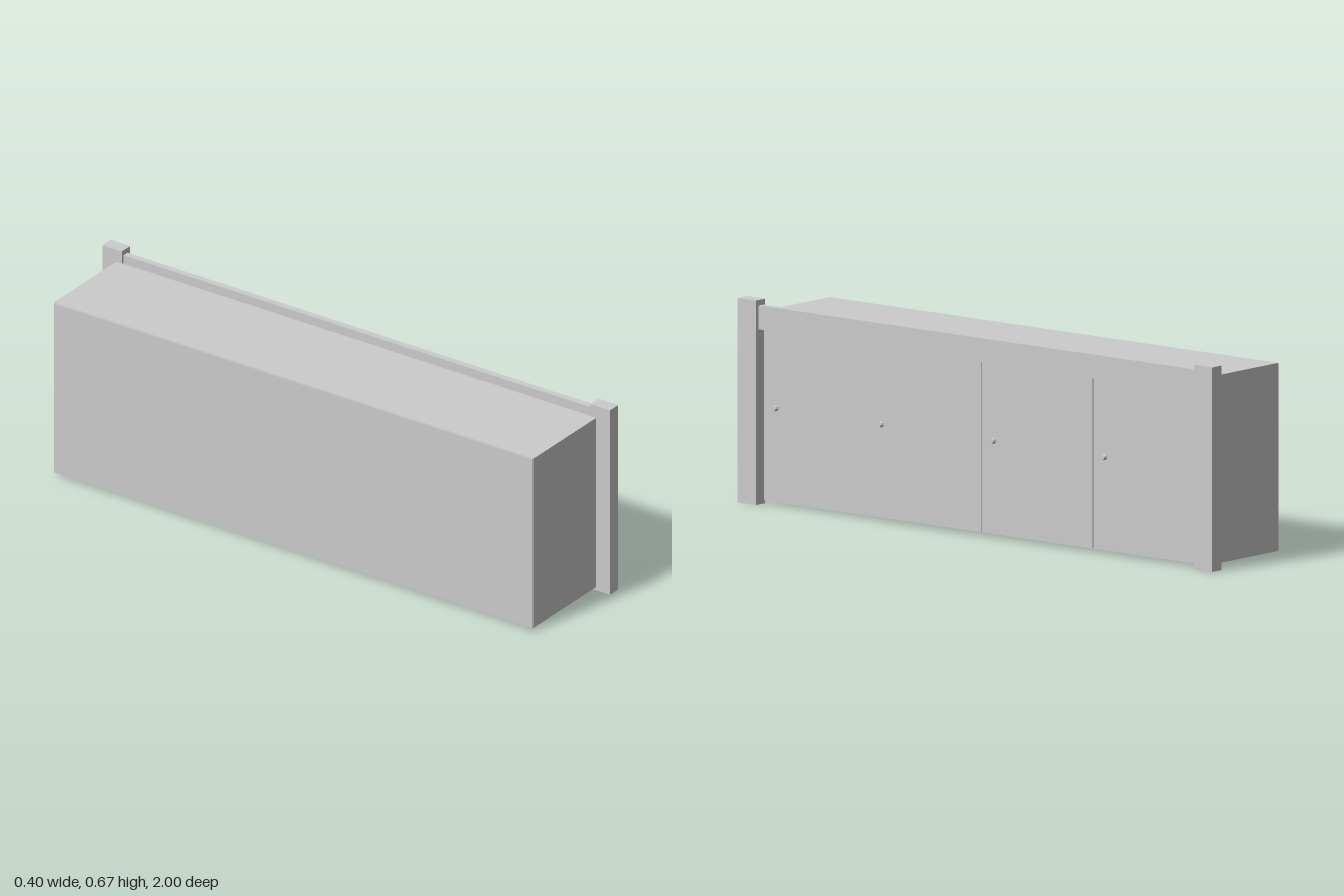
import * as THREE from 'three';

const material = new THREE.MeshStandardMaterial({ color: 0xcccccc, flatShading: true });

export function createModel() {
  const group = new THREE.Group();

  // Box from its lower and upper limits on each axis
  const box = (name, [x0, x1], [y0, y1], [z0, z1]) => {
    const mesh = new THREE.Mesh(new THREE.BoxGeometry(x1 - x0, y1 - y0, z1 - z0), material);
    mesh.name = name;
    mesh.position.set((x0 + x1) / 2, (y0 + y1) / 2, (z0 + z1) / 2);
    group.add(mesh);
  };

  // Carcass with a thin back panel and bottom panel
  box('carcass', [-0.195, 0.155], [0.013, 0.624], [-0.945, 0.945]);
  box('backPanel', [-0.198, -0.195], [0.01, 0.622], [-0.943, 0.943]);
  box('bottomPanel', [-0.195, 0.155], [0.009, 0.013], [-0.943, 0.943]);

  // Corner posts
  for (const side of [-1, 1]) {
    const z = [side * 0.923, side].sort((a, b) => a - b);
    box(side > 0 ? 'leftPost' : 'rightPost', [0.153, 0.199], [0, 0.668], z);
  }

  // Top rail across the doors
  box('topRail', [0.163, 0.185], [0.572, 0.65], [-0.923, 0.923]);

  // Doors, the first one set back a little, each with a knob
  const doors = [
    { z: [0.461, 0.923], front: 0.158, knob: 0.867 },
    { z: [0.001, 0.461], front: 0.168, knob: 0.415 },
    { z: [-0.469, -0.001], front: 0.167, knob: -0.057 },
    { z: [-0.923, -0.471], front: 0.166, knob: -0.525 },
  ];
  const stemGeometry = new THREE.CylinderGeometry(0.005, 0.005, 0.012, 8).rotateZ(-Math.PI / 2);
  const knobGeometry = new THREE.CylinderGeometry(0.007, 0.01, 0.01, 8).rotateZ(-Math.PI / 2);
  for (const { z, front, knob } of doors) {
    box('door', [0.15, front], [0.013, 0.618], z);
    const handle = new THREE.Group();
    handle.name = 'knob';
    handle.position.set(front, 0.318, knob);
    const stem = new THREE.Mesh(stemGeometry, material);
    stem.name = 'knobStem';
    stem.position.x = 0.003;
    const head = new THREE.Mesh(knobGeometry, material);
    head.name = 'knobHead';
    head.position.x = 0.012;
    handle.add(stem, head);
    group.add(handle);
  }

  return group;
}
